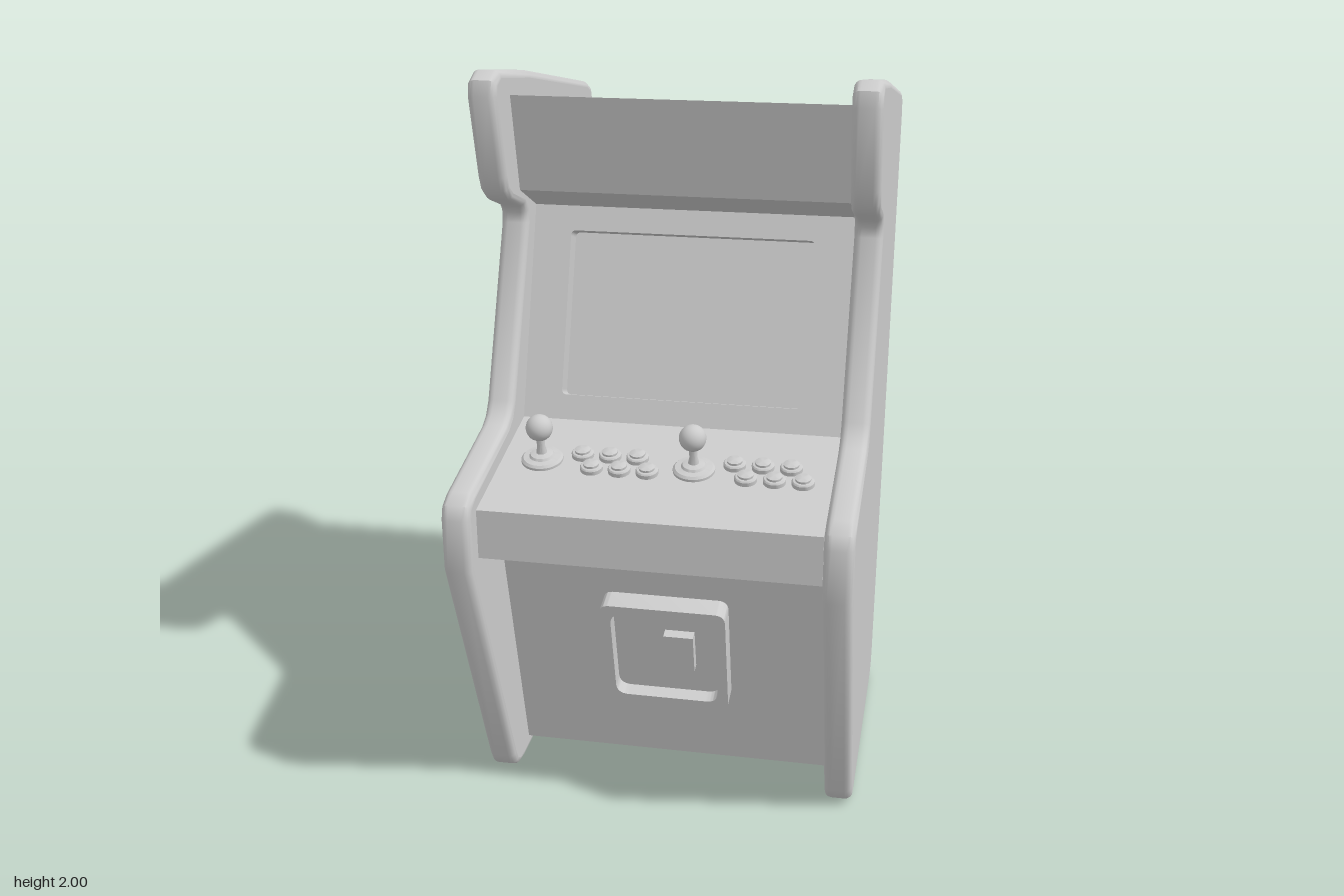
import * as THREE from 'three';
import { toCreasedNormals } from 'three/addons/utils/BufferGeometryUtils.js';

const grey = new THREE.MeshStandardMaterial({ color: 0xcccccc });

function add(parent, name, geometry, x = 0, y = 0, z = 0) {
  const mesh = new THREE.Mesh(geometry, grey);
  mesh.name = name;
  mesh.position.set(x, y, z);
  parent.add(mesh);
  return mesh;
}

function addGroup(parent, name, x, y, z, tilt = 0) {
  const group = new THREE.Group();
  group.name = name;
  group.position.set(x, y, z);
  group.rotation.x = tilt;
  parent.add(group);
  return group;
}

// Extrudes a [z, y] profile across x, centred on x = 0, with an optional rounded rim
function extrudeAcross(profile, width, rim = 0) {
  const shape = new THREE.Shape(profile.map(([z, y]) => new THREE.Vector2(z, y)));
  const geometry = new THREE.ExtrudeGeometry(shape, {
    depth: width - 2 * rim, bevelEnabled: rim > 0, bevelThickness: rim,
    bevelSize: rim, bevelOffset: -rim, bevelSegments: 4,
  });
  return geometry.translate(0, 0, rim - width / 2).rotateY(-Math.PI / 2);
}

// Smooths the rim but keeps the two large faces at x = +-width / 2 flat
function smoothRim(geometry, width) {
  const result = toCreasedNormals(geometry, 0.8);
  const { position, normal } = result.attributes;
  for (let i = 0; i < position.count; i += 3) {
    const xs = [0, 1, 2].map((k) => position.getX(i + k));
    if (xs.every((x) => Math.abs(Math.abs(x) - width / 2) < 1e-4)) {
      for (let k = 0; k < 3; k++) normal.setXYZ(i + k, Math.sign(xs[k]), 0, 0);
    }
  }
  return result;
}

function roundedRect(path, x0, y0, x1, y1, r) {
  path.moveTo(x0 + r, y0);
  path.lineTo(x1 - r, y0).quadraticCurveTo(x1, y0, x1, y0 + r);
  path.lineTo(x1, y1 - r).quadraticCurveTo(x1, y1, x1 - r, y1);
  path.lineTo(x0 + r, y1).quadraticCurveTo(x0, y1, x0, y1 - r);
  path.lineTo(x0, y0 + r).quadraticCurveTo(x0, y0, x0 + r, y0);
  return path;
}

const lathe = (points, sides = 24) => toCreasedNormals(
  new THREE.LatheGeometry(points.map(([r, y]) => new THREE.Vector2(r, y)), sides), 0.6);

export function createModel() {
  const model = new THREE.Group();
  model.name = 'arcadeCabinet';

  // Side panels
  const sideProfile = [
    [0.33, 0], [0.37, 0.005], [0.4, 0.025], [0.42, 0.06], [0.7, 0.79], [0.7, 0.935],
    [0.687, 0.972], [0.645, 0.993], [0.34, 1.06], [0.305, 1.078], [0.28, 1.11],
    [0.08, 1.56], [0.08, 1.588], [0.1, 1.61], [0.21, 1.65], [0.25, 1.68], [0.268, 1.72],
    [0.323, 1.94], [0.312, 1.98], [0.265, 2], [0, 1.963], [-0.63, 1.842], [-0.68, 1.82],
    [-0.698, 1.77], [-0.67, 1.59], [-0.39, 0.07], [-0.367, 0.02], [-0.31, 0],
  ];
  const sideGeometry = smoothRim(extrudeAcross(sideProfile, 0.077, 0.02), 0.077);
  add(model, 'leftSidePanel', sideGeometry, 0.4865);
  add(model, 'rightSidePanel', sideGeometry, -0.4865);

  // Body between the panels, stepped back behind the screen surround
  const bodyProfile = [
    [0.285, 0.05], [0.45, 0.755], [0.648, 0.812], [0.648, 0.947], [0.2, 1.035],
    [0.144, 1.015], [-0.056, 1.575], [0, 1.595], [0.15, 1.667], [0.205, 1.928],
    [-0.615, 1.758], [-0.333, 0.05],
  ];
  add(model, 'body', extrudeAcross(bodyProfile, 0.89));

  // Screen surround with a deep opening, and the screen inside it
  const display = addGroup(model, 'display', 0, 1.035, 0.2, -Math.atan2(0.2, 0.56));
  const surround = new THREE.Shape();
  surround.moveTo(-0.445, 0).lineTo(0.445, 0).lineTo(0.445, 0.595).lineTo(-0.445, 0.595);
  surround.holes.push(roundedRect(new THREE.Path(), -0.34, 0.069, 0.34, 0.526, 0.015));
  const surroundGeometry = new THREE.ExtrudeGeometry(surround, { depth: 0.06, bevelEnabled: false });
  add(display, 'screenSurround', surroundGeometry, 0, 0, -0.06);
  add(display, 'screen', new THREE.PlaneGeometry(0.68, 0.457), 0, 0.2975, -0.056);

  // Two sets of controls: joystick and six buttons each
  const basePoints = [[0.056, -0.005], [0.056, 0.006], [0.05, 0.012], [0.034, 0.014],
    [0.03, 0.02], [0.018, 0.024], [0, 0.025]];
  const baseGeometry = lathe(basePoints, 32);
  const shaftGeometry = lathe([[0.017, 0.015], [0.011, 0.04], [0.011, 0.08]], 16);
  const ballGeometry = new THREE.SphereGeometry(0.036, 24, 16);
  const buttonGeometry = lathe([[0.03, -0.005], [0.03, 0.01], [0.027, 0.014], [0.021, 0.014],
    [0.021, 0.02], [0.018, 0.022], [0, 0.022]]);
  [-0.336, 0.076].forEach((x, player) => {
    const controls = addGroup(model, `controls${player + 1}`, x, 0.996, 0.403, Math.atan(0.196));
    add(controls, 'joystickBase', baseGeometry);
    add(controls, 'joystickShaft', shaftGeometry);
    add(controls, 'joystickBall', ballGeometry, 0, 0.1, 0);
    for (let row = 0; row < 2; row++) {
      for (let i = 0; i < 3; i++) {
        add(controls, 'button', buttonGeometry, 0.104 + row * 0.038 + i * 0.075, 0, -0.032 + row * 0.062);
      }
    }
  });

  // Coin door: thick raised frame, door plate and a small slot plate
  const door = addGroup(model, 'coinDoor', 0, 0.455, 0.38, Math.atan2(0.165, 0.705));
  const frame = roundedRect(new THREE.Shape(), -0.173, -0.175, 0.173, 0.175, 0.03);
  frame.holes.push(roundedRect(new THREE.Path(), -0.144, -0.146, 0.144, 0.146, 0.035));
  const frameGeometry = new THREE.ExtrudeGeometry(frame, { depth: 0.06, bevelEnabled: false });
  add(door, 'doorFrame', toCreasedNormals(frameGeometry, 0.6));
  add(door, 'doorPlate', new THREE.BoxGeometry(0.3, 0.304, 0.02), 0, 0, 0.01);
  add(door, 'coinSlotPlate', new THREE.BoxGeometry(0.082, 0.12, 0.03), 0.039, 0.012, 0.033);

  return model;
}
